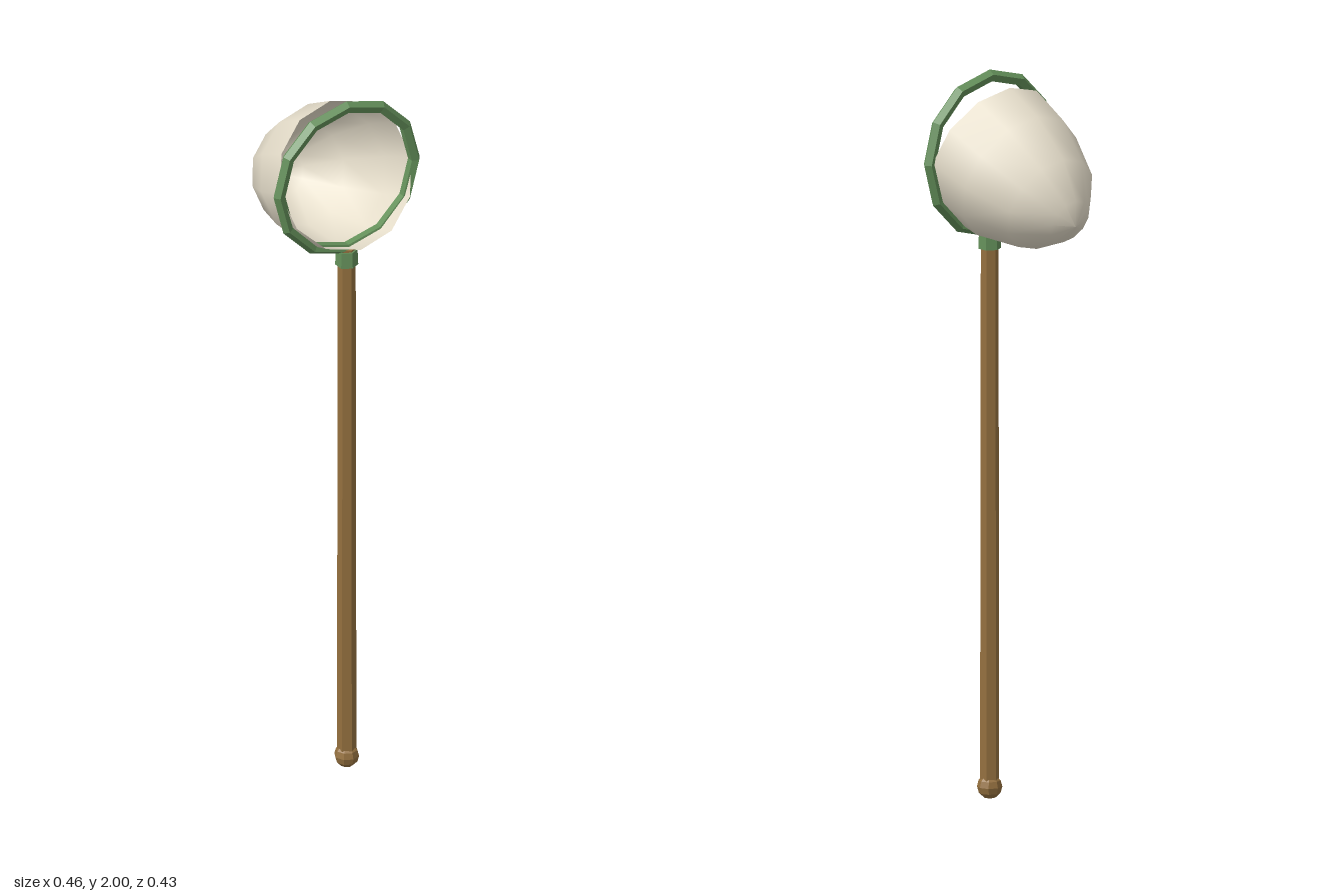
import * as THREE from 'three';

const POLE_Z = 0.14;
const HOOP_Y = 1.771;

function mat(color, options = {}) {
  return new THREE.MeshStandardMaterial({ color, ...options });
}

export function createModel() {
  const group = new THREE.Group();
  const wood = mat(0x94703f, { flatShading: true });
  const green = mat(0x64905a, { flatShading: true });
  const cloth = mat(0xe6decb, { side: THREE.DoubleSide });

  function add(name, geometry, material, y, z = POLE_Z) {
    const mesh = new THREE.Mesh(geometry, material);
    mesh.name = name;
    mesh.position.set(0, y, z);
    group.add(mesh);
    return mesh;
  }

  // Hexagonal pole with a round knob at its foot
  add('pole', new THREE.CylinderGeometry(0.024, 0.026, 1.53, 6), wood, 0.795);
  add('knob', new THREE.SphereGeometry(0.034, 8, 6), wood, 0.034);

  // Collar joining the pole to the hoop
  add('collar', new THREE.CylinderGeometry(0.029, 0.031, 0.045, 6), green, 1.5325);

  // Twelve-sided hoop
  add('hoop', new THREE.TorusGeometry(0.212, 0.017, 5, 12), green, HOOP_Y);

  // Net bag: a rounded cone whose mouth tilts through the hoop
  const profile = [
    [0.205, 0], [0.193, 0.127], [0.143, 0.263], [0.065, 0.35], [0, 0.376],
  ].map(([r, d]) => new THREE.Vector2(r, d));
  const bag = add('netBag', new THREE.LatheGeometry(profile, 12), cloth, 1.775, 0.135);
  bag.rotation.x = -1.961;

  return group;
}
